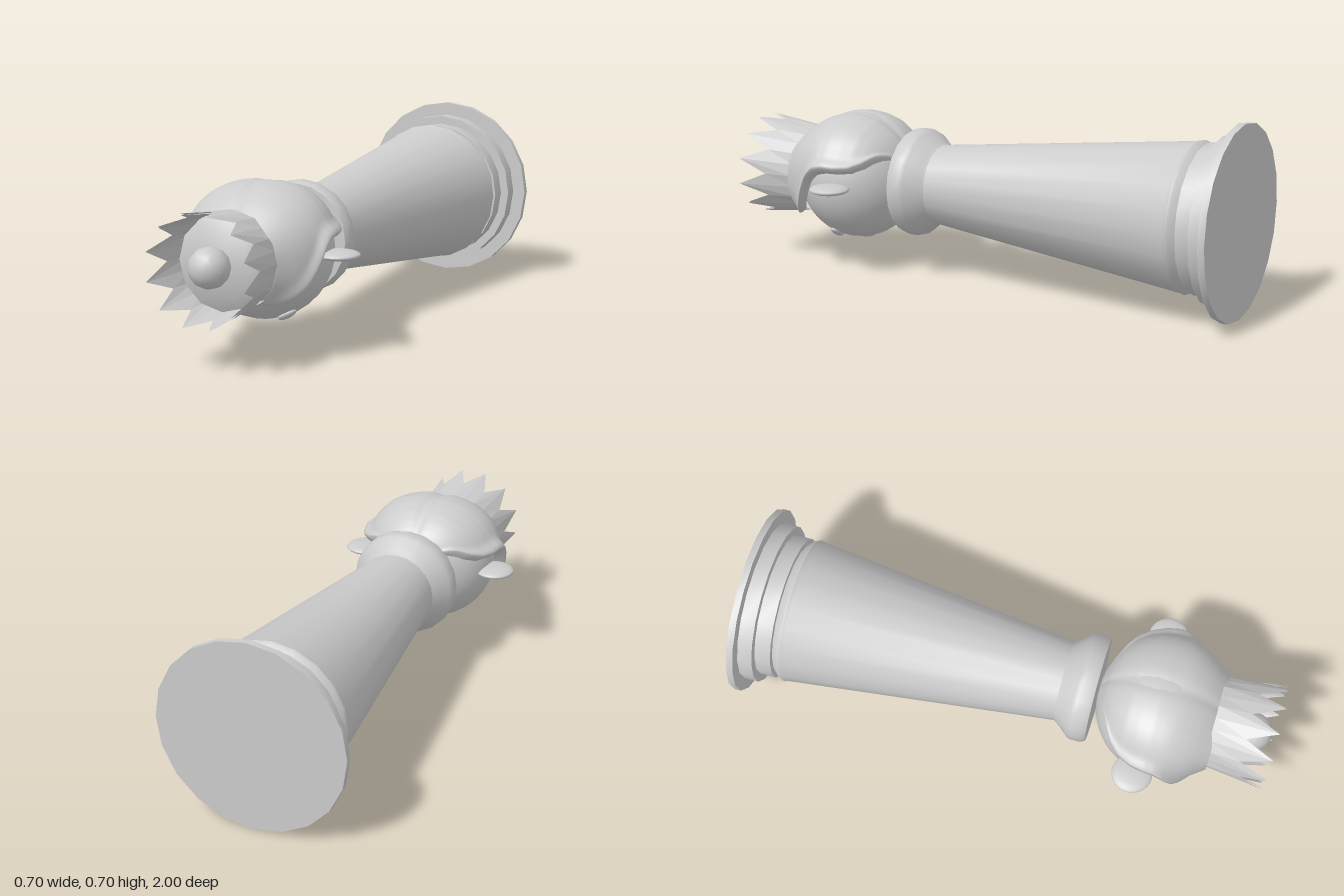
import * as THREE from 'three';
import { toCreasedNormals } from 'three/addons/utils/BufferGeometryUtils.js';

const grey = new THREE.MeshStandardMaterial({ color: 0xcccccc });
const thin = new THREE.MeshStandardMaterial({ color: 0xcccccc, side: THREE.DoubleSide });
const thinFlat = new THREE.MeshStandardMaterial({ color: 0xcccccc, side: THREE.DoubleSide, flatShading: true });

function add(parent, name, geometry, material = grey) {
  const mesh = new THREE.Mesh(geometry, material);
  mesh.name = name;
  parent.add(mesh);
  return mesh;
}

// Turned part from [radius, height] pairs, listed bottom to top
function turned(profile, segments = 20) {
  const points = profile.map(([r, y]) => new THREE.Vector2(r, y));
  return toCreasedNormals(new THREE.LatheGeometry(points, segments), 0.6);
}

function ellipsoid(parent, name, radii, position, segments = 20) {
  const mesh = add(parent, name, new THREE.SphereGeometry(1, segments, Math.ceil(segments * 0.7)));
  mesh.scale.set(...radii);
  mesh.position.set(...position);
  return mesh;
}

// Smoothed lookup in rows of [height, value, ...]
function lookup(rows, y, column) {
  let i = 0;
  while (i < rows.length - 2 && y > rows[i + 1][0]) i++;
  const t = THREE.MathUtils.clamp((y - rows[i][0]) / (rows[i + 1][0] - rows[i][0]), 0, 1);
  return THREE.MathUtils.lerp(rows[i][column], rows[i + 1][column], t);
}

// Shell wrapping the back of the head, with a centre parting and a rolled edge
function hairGeometry() {
  // height, half width, depth behind, half angle covered (degrees from the back)
  const rows = [
    [0.335, 0.09, 0.08, 38], [0.36, 0.14, 0.143, 46], [0.39, 0.19, 0.178, 58],
    [0.42, 0.218, 0.203, 70], [0.46, 0.243, 0.226, 77], [0.51, 0.262, 0.24, 79],
    [0.56, 0.271, 0.245, 79], [0.60, 0.271, 0.241, 81], [0.63, 0.266, 0.236, 87],
    [0.66, 0.255, 0.226, 100], [0.69, 0.241, 0.211, 116], [0.72, 0.223, 0.192, 131],
    [0.75, 0.201, 0.168, 144], [0.78, 0.18, 0.14, 152],
  ];
  const geometry = new THREE.PlaneGeometry(2, 1, 72, 40);
  const pos = geometry.attributes.position;
  for (let i = 0; i < pos.count; i++) {
    const u = pos.getX(i);
    const v = pos.getY(i) + 0.5;
    const y = 0.335 + v * 0.445;
    const angle = u * THREE.MathUtils.degToRad(lookup(rows, y, 3));
    const s = Math.sin(angle), c = Math.cos(angle);
    const rx = lookup(rows, y, 1);
    const rz = c > 0 ? lookup(rows, y, 2) : Math.max(lookup(rows, y, 2), rx * 0.9);
    let r = Math.pow(Math.pow(Math.abs(s) / rx, 2.3) + Math.pow(Math.abs(c) / rz, 2.3), -1 / 2.3);
    r -= 0.008 * Math.exp(-Math.pow(angle / 0.12, 2));
    const fade = Math.sin(Math.PI * v);
    r += 0.024 * fade * Math.exp(-Math.pow((Math.abs(u) - 0.93) / 0.07, 2));
    if (Math.abs(u) > 0.96) r *= 1 - 0.16 * (Math.abs(u) - 0.96) / 0.04;
    pos.setXYZ(i, -r * s, y, -r * c);
  }
  geometry.computeVertexNormals();
  return geometry;
}

// Open ring with twelve points
function crownGeometry(inset) {
  const geometry = new THREE.CylinderGeometry(1, 1, 1, 24, 1, true);
  const pos = geometry.attributes.position;
  for (let i = 0; i < pos.count; i++) {
    const step = i % 25;
    const a = (step / 24) * Math.PI * 2;
    const tip = step % 2 === 1;
    const top = pos.getY(i) > 0;
    const r = (top ? (tip ? 0.197 : 0.182) : (tip ? 0.168 : 0.172)) - inset;
    pos.setXYZ(i, r * Math.sin(a), top ? (tip ? 1 : 0.885) : 0.765, r * Math.cos(a));
  }
  geometry.computeVertexNormals();
  return geometry;
}

export function createModel() {
  const model = new THREE.Group();
  model.name = 'chessKing';

  // Built upright, then laid on its back so the top points to the front
  const piece = new THREE.Group();
  piece.name = 'piece';
  piece.rotation.x = Math.PI / 2;
  piece.position.y = 0.352;
  model.add(piece);

  // Stepped foot
  add(piece, 'base', turned([
    [0, -1], [0.352, -1], [0.352, -0.975], [0.302, -0.975], [0.302, -0.92],
    [0.27, -0.92], [0.27, -0.86], [0, -0.86],
  ]));

  // Tapering column
  add(piece, 'column', turned([
    [0.24, -0.87], [0.25, -0.858], [0.272, -0.835], [0.275, -0.825], [0.27, -0.81],
    [0.15, 0.2], [0.15, 0.22],
  ]));

  // Collar
  add(piece, 'collar', turned([
    [0.148, 0.19], [0.16, 0.21], [0.198, 0.255], [0.204, 0.27], [0.204, 0.305],
    [0.196, 0.325], [0, 0.33],
  ]));

  // Head and face
  const head = new THREE.Group();
  head.name = 'head';
  piece.add(head);
  ellipsoid(head, 'skull', [0.25, 0.23, 0.241], [0, 0.555, 0], 36);
  ellipsoid(head, 'nose', [0.026, 0.04, 0.024], [0, 0.54, 0.226]);
  for (const side of [-1, 1]) {
    const eye = ellipsoid(head, 'eye', [0.038, 0.022, 0.014], [side * 0.115, 0.6, 0.209]);
    eye.rotation.set(-0.15, side * 0.5, 0);
    ellipsoid(head, 'ear', [0.075, 0.075, 0.018], [side * 0.276, 0.525, 0]);
  }
  add(head, 'hair', hairGeometry(), thin);

  // Crown with inner cap and ball
  const crown = new THREE.Group();
  crown.name = 'crown';
  piece.add(crown);
  add(crown, 'crownOutside', crownGeometry(0), thinFlat);
  add(crown, 'crownInside', crownGeometry(0.006), thinFlat);
  add(crown, 'crownCap', turned([[0.172, 0.77], [0.165, 0.835], [0.12, 0.86], [0, 0.875]], 12));
  ellipsoid(crown, 'crownBall', [0.072, 0.072, 0.072], [0, 0.912, 0], 12);

  return model;
}
